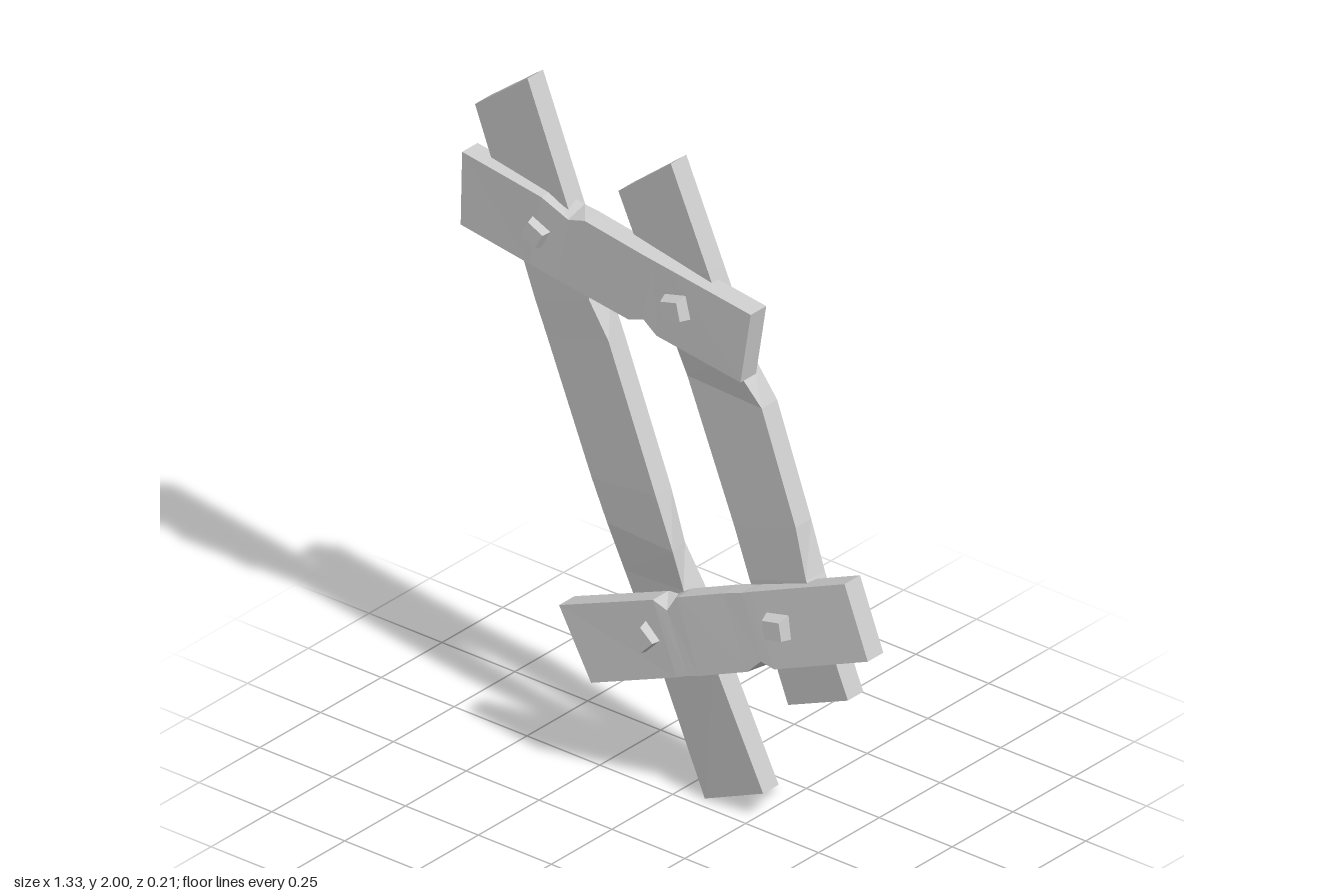
import * as THREE from 'three';

const HALF = 0.032; // half the plank thickness
const material = new THREE.MeshStandardMaterial({ color: 0xcccccc, flatShading: true });

// Plank lofted through four-cornered sections:
// [edge A x, y, edge B x, y, centre z, chips at front A, front B, back A, back B]
function plank(name, sections) {
  const pos = [], index = [];
  sections.forEach(([ax, ay, bx, by, z, fa = 0, fb = 0, ba = 0, bb = 0], i) => {
    const put = (t, dz) => pos.push(ax + (bx - ax) * t, ay + (by - ay) * t, z + dz);
    put(ba, -HALF);
    put(1 - bb, -HALF);
    put(1 - fb, HALF);
    put(fa, HALF);
    if (i === 0) return;
    for (let j = 0; j < 4; j++) {
      const a = (i - 1) * 4 + j, b = (i - 1) * 4 + (j + 1) % 4;
      index.push(a, b, b + 4, a, b + 4, a + 4);
    }
  });
  const e = (sections.length - 1) * 4;
  index.push(0, 2, 1, 0, 3, 2, e, e + 1, e + 2, e, e + 2, e + 3);
  const indexed = new THREE.BufferGeometry();
  indexed.setAttribute('position', new THREE.Float32BufferAttribute(pos, 3));
  indexed.setIndex(index);
  const geometry = indexed.toNonIndexed();
  geometry.computeVertexNormals();
  const mesh = new THREE.Mesh(geometry, material);
  mesh.name = name;
  return mesh;
}

// Square tapered peg head lying on a crossbar
function peg(name, x, y, z, spin, lean) {
  const geometry = new THREE.CylinderGeometry(0.038, 0.053, 0.05, 4).toNonIndexed();
  geometry.rotateX(Math.PI / 2);
  geometry.rotateZ(Math.PI / 4 + spin);
  geometry.rotateY(lean);
  geometry.computeVertexNormals();
  const mesh = new THREE.Mesh(geometry, material);
  mesh.position.set(x, y, z);
  mesh.name = name;
  return mesh;
}

export function createModel() {
  const model = new THREE.Group();
  model.name = 'brokenFence';

  // Upright planks, top to bottom
  model.add(plank('longUpright', [
    [-0.65, 1.86, -0.47, 2.0, 0.002],
    [-0.53, 1.54, -0.32, 1.62, -0.003],
    [-0.487, 1.44, -0.278, 1.5, -0.005, 0, 0, 0.12, 0],
    [-0.45, 1.34, -0.245, 1.41, -0.006, 0, 0.1],
    [-0.41, 1.24, -0.2, 1.3, -0.008],
    [-0.26, 0.87, -0.04, 0.89, -0.01],
    [-0.21, 0.75, 0.015, 0.74, -0.014, 0, 0, 0, 0.05],
    [-0.16, 0.62, 0.06, 0.63, -0.026, 0, 0.08],
    [-0.06, 0.38, 0.13, 0.44, -0.043],
    [0.08, 0, 0.28, 0.085, -0.068],
  ]));
  model.add(plank('shortUpright', [
    [-0.195, 1.74, -0.015, 1.885, -0.042],
    [-0.1, 1.53, 0.11, 1.6, -0.046],
    [-0.06, 1.44, 0.155, 1.49, -0.05, 0, 0, 0.12, 0],
    [-0.03, 1.38, 0.2, 1.36, -0.055, 0, 0.12],
    [0.02, 1.25, 0.275, 1.24, -0.068],
    [0.19, 0.86, 0.4, 0.93, -0.058],
    [0.245, 0.72, 0.45, 0.79, -0.055, 0, 0.06],
    [0.295, 0.59, 0.49, 0.68, -0.058],
    [0.37, 0.385, 0.575, 0.47, -0.063],
  ]));

  // Crossbars, from -x to +x
  model.add(plank('upperCrossbar', [
    [-0.665, 1.51, -0.66, 1.73, 0.043],
    [-0.44, 1.465, -0.4, 1.68, 0.03],
    [-0.35, 1.445, -0.31, 1.66, 0.022, 0, 0.1],
    [-0.3, 1.435, -0.26, 1.652, 0.018],
    [-0.12, 1.4, -0.08, 1.613, 0.006],
    [-0.075, 1.395, -0.04, 1.605, 0.003, 0.1, 0],
    [-0.03, 1.38, 0.01, 1.595, -0.001],
    [0.24, 1.325, 0.275, 1.54, -0.023],
  ]));
  model.add(plank('lowerCrossbar', [
    [-0.2, 0.305, -0.31, 0.5, 0.064],
    [0.07, 0.405, -0.01, 0.61, 0.038],
    [0.105, 0.42, 0.025, 0.615, 0.033, 0, 0.12],
    [0.14, 0.43, 0.065, 0.64, 0.029],
    [0.29, 0.487, 0.21, 0.695, 0.01],
    [0.34, 0.51, 0.265, 0.713, 0.004, 0.1, 0],
    [0.375, 0.52, 0.295, 0.725, 0],
    [0.66, 0.625, 0.58, 0.83, -0.043],
  ]));

  // Pegs at the four crossings
  [
    ['upperPegRight', -0.415, 1.57, 0.062, -0.5, 0.07],
    ['upperPegLeft', 0.04, 1.49, 0.037, 0.22, 0.07],
    ['lowerPegRight', -0.03, 0.495, 0.076, 0.8, 0.11],
    ['lowerPegLeft', 0.385, 0.65, 0.034, 0.15, 0.11],
  ].forEach((p) => model.add(peg(...p)));

  return model;
}
